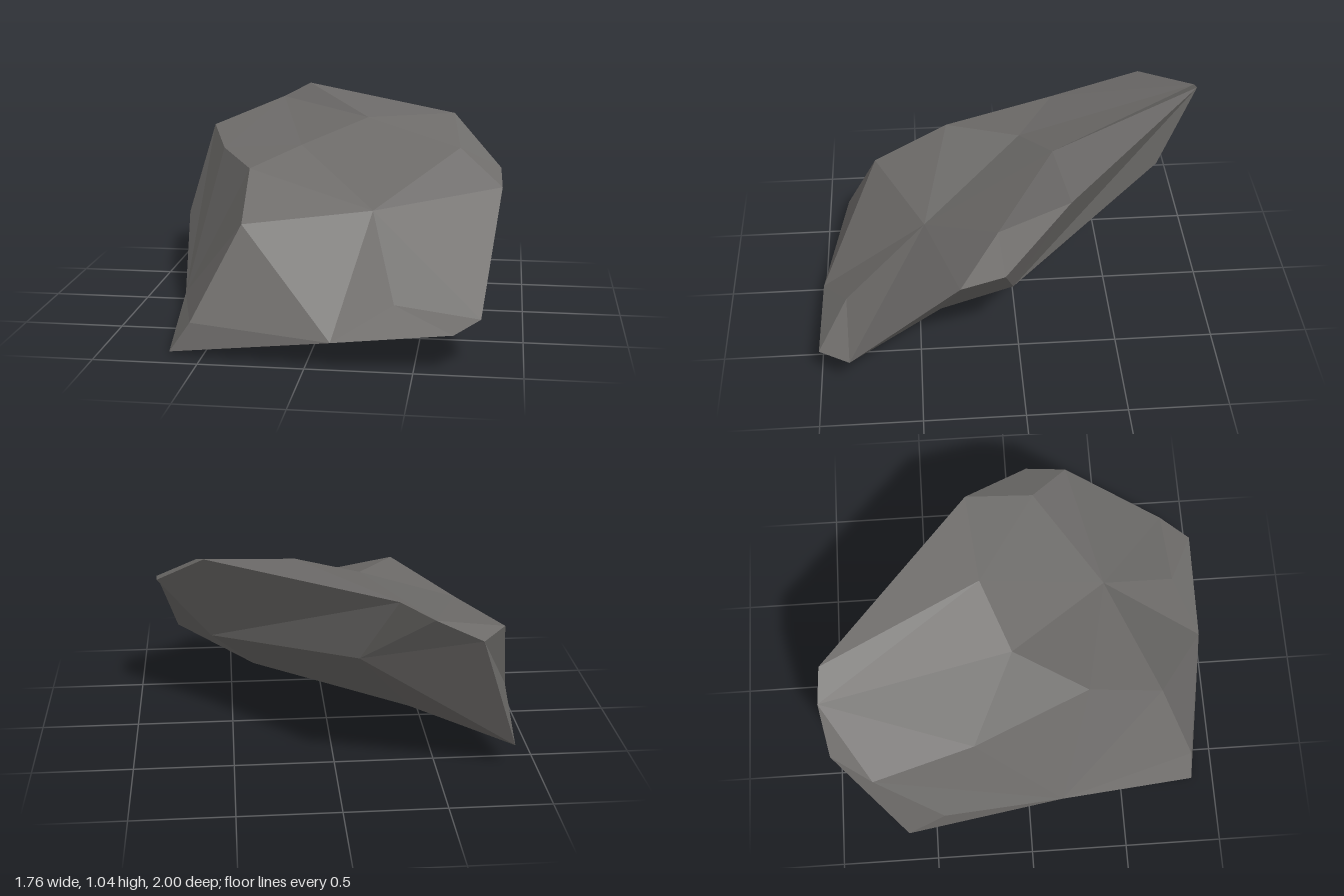
import * as THREE from 'three';

// Outer rim of the boulder, clockwise from the back
const rim = [
  [-0.64, 0.83, -0.96], [-0.41, 0.955, -1], [-0.25, 1.04, -0.98], [0.62, 1, -0.235],
  [0.87, 0.78, 0.09], [0.88, 0.725, 0.3], [0.8, 0.22, 0.845], [0.68, 0.19, 1],
  [0.12, 0.13, 1], [-0.66, 0.015, 0.885], [-0.745, 0.09, 0.18], [-0.86, 0.375, -0.44],
  [-0.885, 0.13, -0.64],
];

// Corners of the upper side
const upper = {
  A: [-0.775, 0.82, -0.76], B: [-0.62, 0.78, -0.265], C: [-0.37, 0.79, 0.32],
  D: [-0.34, 0.6, 0.705], E: [-0.56, 0.16, 0.88], F: [-0.165, 0.845, -0.05],
  G: [0.17, 0.975, -0.19], H: [0.665, 0.88, 0.11], I: [0.26, 0.625, 0.455],
  J: [0.4, 0.28, 0.865],
};

// Corners of the underside
const under = {
  K: [-0.46, 0, 0.11], L: [0.375, 0.16, 0.39], M: [0.6, 0.485, 0.035], N: [-0.095, 0.68, -0.765],
};

const corners = { ...upper, ...under };
rim.forEach((p, i) => { corners['r' + (i + 1)] = p; });

// Facets as fans: a hub corner followed by the corners around it
const fans = [
  'I D C F G H r6 r7 J r9 D', // front slope
  'J r7 r8 r9',
  'H G r4 r5 r6', // shoulder
  'G F r2 r3 r4', // crest
  'B A r2 F C',
  'A r12 r1 r2',
  'r11 r13 r12 A B C D E r10', // side wall
  'E D r9 r10',
  'r12 r13 r1',
  'K r11 r10 r9 r8 r7 L M N r13 r11', // base
  'N M r3 r2 r1 r13', // back overhang
  'M r5 r4 r3',
  'L r7 r6 r5 M',
];

function buildBoulder() {
  const core = new THREE.Vector3(0, 0.45, 0.1);
  const points = [];
  for (const fan of fans) {
    const [hub, ...ring] = fan.split(' ').map((k) => new THREE.Vector3(...corners[k]));
    for (let i = 0; i + 1 < ring.length; i++) {
      const tri = new THREE.Triangle(hub, ring[i], ring[i + 1]);
      const normal = tri.getNormal(new THREE.Vector3());
      // Turn every facet away from the core
      const outward = normal.dot(hub.clone().sub(core)) > 0;
      points.push(hub, ...(outward ? [ring[i], ring[i + 1]] : [ring[i + 1], ring[i]]));
    }
  }
  const geometry = new THREE.BufferGeometry().setFromPoints(points);
  geometry.computeVertexNormals();
  return geometry;
}

export function createModel() {
  const stone = new THREE.MeshStandardMaterial({ color: 0x6e6c6a });
  stone.name = 'stone grey';
  stone.flatShading = true;

  const boulder = new THREE.Mesh(buildBoulder(), stone);
  boulder.name = 'boulder';

  const group = new THREE.Group();
  group.name = 'rock';
  group.add(boulder);
  return group;
}
